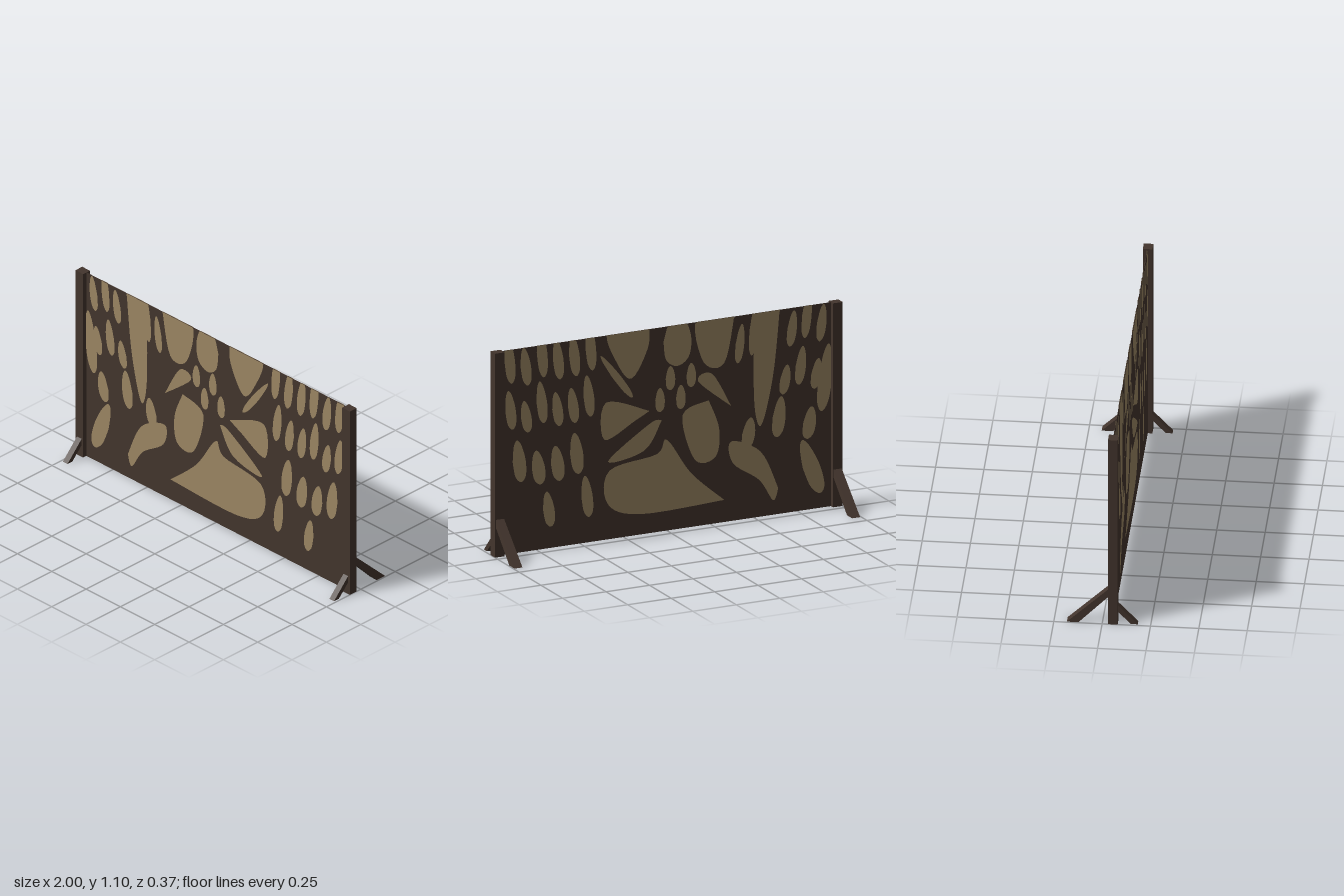
import * as THREE from 'three';
import { mergeGeometries } from 'three/addons/utils/BufferGeometryUtils.js';

const TOP = 1.1, INNER = 0.944, PANEL_Z = 0.055;

// Flat opening with a smooth outline, kept inside the panel
function opening(points) {
  const curve = new THREE.SplineCurve([...points, points[0]]);
  const outline = curve.getPoints(points.length * 6).slice(0, -1).map(p => new THREE.Vector2(
    THREE.MathUtils.clamp(p.x, -INNER, INNER), Math.min(p.y, TOP)));
  return new THREE.ShapeGeometry(new THREE.Shape(outline));
}

const blob = (...points) => opening(points.map(([x, y]) => new THREE.Vector2(x, y)));

// Hanging pebble, wider below, its top leaning in x
function drop(x, y, w, h, lean = 0) {
  const points = [];
  for (let i = 0; i < 8; i++) {
    const a = i / 8 * Math.PI * 2, s = Math.sin(a);
    points.push(new THREE.Vector2(
      x + Math.cos(a) * w / 2 * (1 - 0.2 * s) + s * lean, y + s * h / 2));
  }
  return opening(points);
}

function branchOpenings() {
  const parts = [
    // wide hollow between the roots, and the leaf beside it
    blob([-0.33, 0.12], [-0.14, 0.29], [0, 0.49], [0.06, 0.42], [0.33, 0.37], [0.34, 0.19], [0.15, 0.11]),
    blob([-0.64, 0.14], [-0.54, 0.35], [-0.37, 0.43], [-0.38, 0.31], [-0.53, 0.2], [-0.61, 0.08]),
    // openings among the main boughs
    blob([0.03, 0.6], [0.1, 0.59], [0.34, 0.42], [0.13, 0.45]),
    blob([0.1, 0.66], [0.35, 0.74], [0.36, 0.54], [0.18, 0.62]),
    blob([-0.24, 0.67], [-0.09, 0.61], [-0.16, 0.36], [-0.28, 0.36], [-0.3, 0.51]),
    blob([-0.37, 0.62], [-0.26, 0.81], [-0.18, 0.78]),
    // crown openings cut by the top edge
    blob([0.1, 1.12], [0.34, 1.12], [0.28, 0.93], [0.2, 0.85], [0.11, 1]),
    blob([-0.39, 1.12], [-0.17, 1.12], [-0.21, 0.88], [-0.33, 0.86]),
    blob([-0.65, 1.12], [-0.52, 1.12], [-0.5, 0.66], [-0.54, 0.49], [-0.61, 0.75]),
    drop(-0.06, 1.02, 0.16, 0.28),
    drop(0.29, 0.87, 0.05, 0.25, 0.09),
  ];
  // small pebbles around the crown
  for (let i = 0; i < 4; i++) parts.push(drop(-0.14 + i * 0.06, 0.82 - (i % 2) * 0.11, 0.055, 0.13));

  // rows of hanging pebbles: first x, step, count, y, width, height
  const row = (side, x, step, count, y, w, h) => {
    for (let i = 0; i < count; i++) {
      const wave = Math.sin(i * 2.4 + side);
      parts.push(drop(side * (x + i * step), y + wave * 0.035, w, h * (1 + wave * 0.15), side * 0.012));
    }
  };
  row(1, 0.44, 0.093, 6, 1.03, 0.06, 0.24);
  row(1, 0.45, 0.09, 6, 0.76, 0.06, 0.2);
  row(1, 0.52, 0.11, 4, 0.46, 0.075, 0.2);
  row(1, 0.46, 0.22, 2, 0.22, 0.065, 0.2);
  row(-1, 0.72, 0.085, 3, 1.02, 0.055, 0.22);
  row(-1, 0.68, 0.09, 3, 0.75, 0.06, 0.18);
  row(-1, 0.42, 0.08, 2, 0.98, 0.05, 0.24);
  row(-1, 0.47, 0.175, 3, 0.49, 0.075, 0.19);
  parts.push(drop(-0.91, 0.7, 0.08, 0.36, -0.02), drop(-0.83, 0.23, 0.1, 0.3, 0.05));
  return mergeGeometries(parts);
}

// Slanted foot: rises from the floor to the post, cut level below and upright at the post
function footGeometry(zFloor, zPost, rise, floorLength, postLength, width) {
  const shape = new THREE.Shape([
    new THREE.Vector2(zFloor, 0),
    new THREE.Vector2(zPost, rise),
    new THREE.Vector2(zPost, rise - postLength),
    new THREE.Vector2(zFloor - Math.sign(zFloor) * floorLength, 0),
  ]);
  const geometry = new THREE.ExtrudeGeometry(shape, { depth: width, bevelEnabled: false });
  return geometry.rotateY(-Math.PI / 2).translate(width / 2, 0, 0);
}

export function createModel() {
  const model = new THREE.Group();
  const wood = new THREE.MeshStandardMaterial({ color: 0x43352d });
  wood.name = 'dark wood';
  const tan = new THREE.MeshStandardMaterial({ color: 0x9c8764, side: THREE.DoubleSide });
  tan.name = 'tan backing';

  const add = (name, geometry, material, x, y, z) => {
    const mesh = new THREE.Mesh(geometry, material);
    mesh.name = name;
    mesh.position.set(x, y, z);
    model.add(mesh);
  };

  // Thin panel with the branch pattern on both faces
  add('screenPanel', new THREE.BoxGeometry(INNER * 2, TOP, 0.002), wood, 0, TOP / 2, PANEL_Z);
  const pattern = branchOpenings();
  add('frontPattern', pattern, tan, 0, 0, PANEL_Z + 0.003);
  add('backPattern', pattern, tan, 0, 0, PANEL_Z - 0.003);

  // Posts and feet at each end
  const post = new THREE.BoxGeometry(0.056, TOP, 0.05);
  const frontFoot = footGeometry(0.183, 0.08, 0.108, 0.035, 0.038, 0.034);
  const backFoot = footGeometry(-0.183, 0.032, 0.205, 0.06, 0.045, 0.046);
  for (const [side, s] of [['left', 1], ['right', -1]]) {
    add(side + 'Post', post, wood, s * 0.972, TOP / 2, PANEL_Z);
    add(side + 'FrontFoot', frontFoot, wood, s * 0.971, 0, 0);
    add(side + 'BackFoot', backFoot, wood, s * 0.971, 0, 0);
  }
  return model;
}
